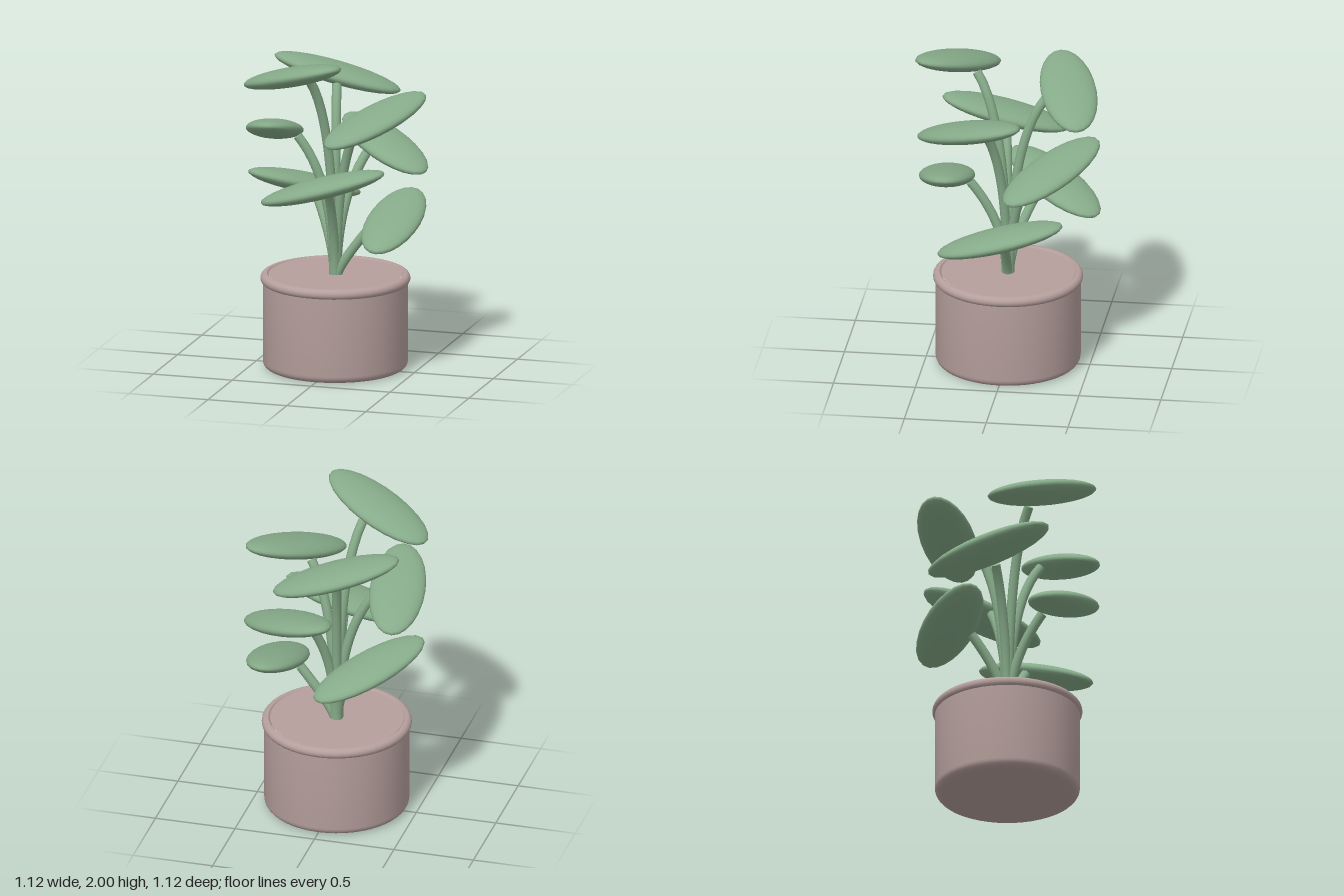
import * as THREE from 'three';
import { toCreasedNormals } from 'three/addons/utils/BufferGeometryUtils.js';

const LEAVES = 8;
const GOLDEN_ANGLE = THREE.MathUtils.degToRad(137.5);

// Profile points along a rounded corner, from angle a to b (degrees)
function corner(cx, cy, r, a, b, steps = 5) {
  return Array.from({ length: steps + 1 }, (_, i) => {
    const t = THREE.MathUtils.degToRad(a + ((b - a) * i) / steps);
    return new THREE.Vector2(cx + r * Math.cos(t), cy + r * Math.sin(t));
  });
}

function lathe(points) {
  return toCreasedNormals(new THREE.LatheGeometry(points, 48), 0.5);
}

export function createModel() {
  const clay = new THREE.MeshStandardMaterial({ color: 0xb59f9c });
  clay.name = 'clay';
  const green = new THREE.MeshStandardMaterial({ color: 0x86ab89 });
  green.name = 'leafGreen';

  const plant = new THREE.Group();
  plant.name = 'pottedPlant';

  const add = (parent, name, geometry, material) => {
    const mesh = new THREE.Mesh(geometry, material);
    mesh.name = name;
    parent.add(mesh);
    return mesh;
  };

  // Pot wall with a rounded foot
  add(plant, 'pot', lathe([
    new THREE.Vector2(0, 0),
    ...corner(0.395, 0.045, 0.045, -90, 0),
    new THREE.Vector2(0.44, 0.54),
  ]), clay);

  // Rolled lip
  add(plant, 'rim', lathe([
    new THREE.Vector2(0.42, 0.525),
    ...corner(0.423, 0.557, 0.032, -90, 90, 10),
    new THREE.Vector2(0.415, 0.589),
    new THREE.Vector2(0.403, 0.575),
  ]), clay);

  // Flat fill inside the pot
  const soil = add(plant, 'soil', new THREE.CircleGeometry(0.405, 48), clay);
  soil.rotation.x = -Math.PI / 2;
  soil.position.y = 0.581;

  // Leaves climb in a golden-angle spiral, each on an outward curving stem
  const leafGeometry = new THREE.SphereGeometry(1, 24, 16);
  for (let i = 0; i < LEAVES; i++) {
    const y = 0.94 + i * 0.134;
    const branch = new THREE.Group();
    branch.name = `branch${i + 1}`;
    branch.rotation.y = i * GOLDEN_ANGLE;
    plant.add(branch);

    const end = new THREE.Vector3(0.23, y - 0.04, 0);
    const curve = new THREE.QuadraticBezierCurve3(
      new THREE.Vector3(0.01, 0.56, 0),
      new THREE.Vector3(0.01, y - 0.31, 0),
      end
    );
    add(branch, 'stem', new THREE.TubeGeometry(curve, 16, 0.029, 12), green);
    const cap = add(branch, 'stemEnd', new THREE.CircleGeometry(0.029, 12), green);
    cap.position.copy(end);
    cap.rotation.y = Math.PI / 2;
    cap.quaternion.setFromUnitVectors(new THREE.Vector3(0, 0, 1), curve.getTangent(1));

    const leaf = add(branch, 'leaf', leafGeometry, green);
    leaf.scale.set(0.17, 0.061, 0.398);
    leaf.rotation.x = 0.28;
    leaf.position.set(0.37, y, 0);
  }

  return plant;
}
